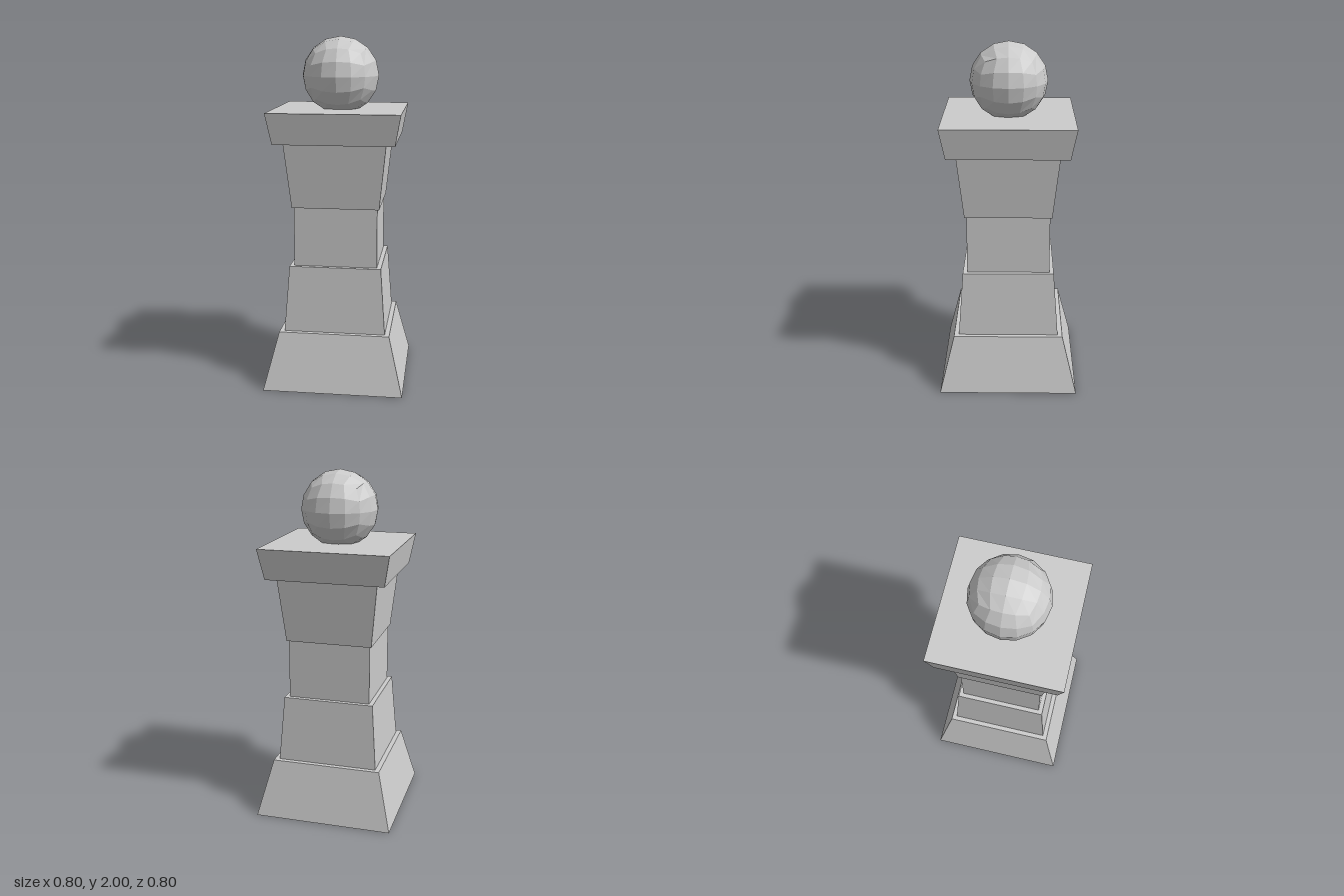
import * as THREE from 'three';

const material = new THREE.MeshStandardMaterial({ color: 0xcccccc, flatShading: true });

// Square tapered block between two heights, given half widths at bottom and top
function taperedBlock(name, y0, y1, halfBottom, halfTop) {
  const geometry = new THREE.CylinderGeometry(halfTop * Math.SQRT2, halfBottom * Math.SQRT2, y1 - y0, 4);
  geometry.rotateY(Math.PI / 4);
  geometry.translate(0, (y0 + y1) / 2, 0);
  const mesh = new THREE.Mesh(geometry, material);
  mesh.name = name;
  return mesh;
}

// Low-poly ball made by inflating a cube with a 4 x 4 grid on each face
function cubeBall(name, radius, y) {
  const geometry = new THREE.BoxGeometry(2, 2, 2, 4, 4, 4);
  const position = geometry.attributes.position;
  const v = new THREE.Vector3();
  const even = (c) => Math.tan(c * Math.PI / 4); // even angular spacing
  for (let i = 0; i < position.count; i++) {
    v.fromBufferAttribute(position, i);
    v.set(even(v.x), even(v.y), even(v.z)).setLength(radius);
    position.setXYZ(i, v.x, v.y, v.z);
  }
  geometry.translate(0, y, 0);
  geometry.computeVertexNormals();
  const mesh = new THREE.Mesh(geometry, material);
  mesh.name = name;
  return mesh;
}

export function createModel() {
  const pillar = new THREE.Group();
  pillar.name = 'pillar';
  pillar.add(
    taperedBlock('base', 0, 0.33, 0.4, 0.317),
    taperedBlock('lowerShaft', 0.33, 0.71, 0.29, 0.262),
    taperedBlock('middleShaft', 0.71, 1.05, 0.237, 0.237),
    taperedBlock('upperShaft', 1.05, 1.42, 0.248, 0.287),
    taperedBlock('capital', 1.42, 1.595, 0.338, 0.37),
    cubeBall('ballFinial', 0.22, 1.78),
  );
  return pillar;
}
